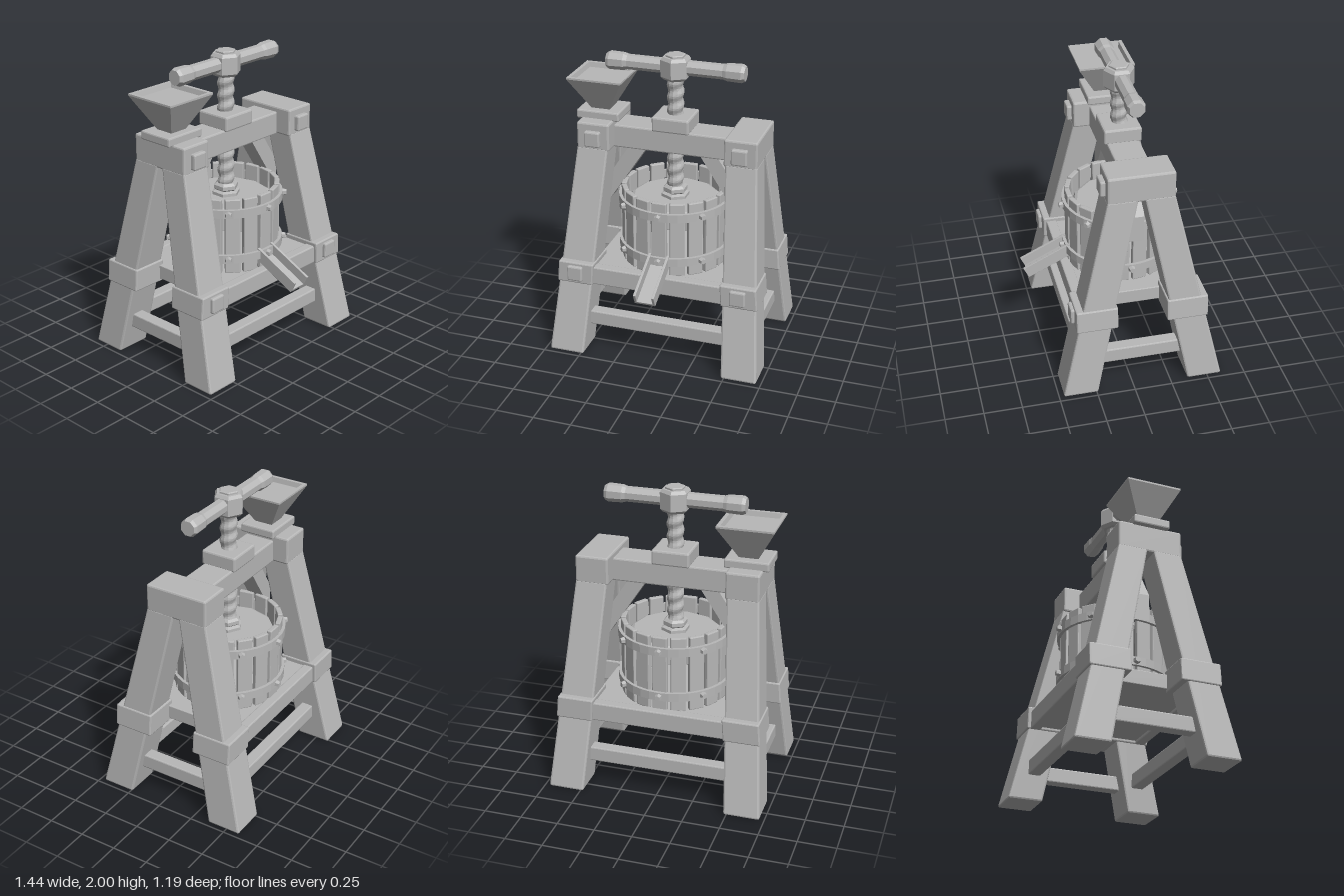
import * as THREE from 'three';
import { RoundedBoxGeometry } from 'three/addons/geometries/RoundedBoxGeometry.js';

const CZ = -0.063; // depth of the frame's middle plane

export function createModel() {
  const root = new THREE.Group();
  root.name = 'screwPress';
  const grey = new THREE.MeshStandardMaterial({ color: 0xb8b8b8 });
  grey.name = 'plain grey';

  // faceted mesh from any geometry
  function add(name, geo, parent = root) {
    const g = geo.index ? geo.toNonIndexed() : geo;
    g.computeVertexNormals();
    const m = new THREE.Mesh(g, grey);
    m.name = name;
    parent.add(m);
    return m;
  }
  // bevelled box between bounds
  function box(name, x0, x1, y0, y1, z0, z1, bevel = 0.01, parent = root) {
    const g = new RoundedBoxGeometry(x1 - x0, y1 - y0, z1 - z0, 1, bevel);
    g.translate((x0 + x1) / 2, (y0 + y1) / 2, (z0 + z1) / 2);
    return add(name, g, parent);
  }
  // bevelled post whose rectangle [x0, x1, z0, z1] changes from bottom to top
  function post(name, y0, y1, bottom, top, bevel = 0.012) {
    const g = new RoundedBoxGeometry(0.22, y1 - y0, 0.22, 1, bevel);
    const p = g.attributes.position;
    for (let i = 0; i < p.count; i++) {
      const t = p.getY(i) / (y1 - y0) + 0.5;
      const [a, b, c, d] = bottom.map((v, k) => v + (top[k] - v) * t);
      p.setXYZ(i, a + (b - a) * (p.getX(i) / 0.22 + 0.5), y0 + (y1 - y0) * t,
        c + (d - c) * (p.getZ(i) / 0.22 + 0.5));
    }
    return add(name, g);
  }
  const span = (s, a, b) => (s > 0 ? [a, b] : [-b, -a]);

  // A-shaped side frames
  const LEG_TOP = 1.38;
  for (const sx of [1, -1]) {
    for (const sz of [1, -1]) {
      const rect = (y, gx, gz) => {
        const t = y / LEG_TOP;
        const mix = (a, b) => a + (b - a) * t;
        const xs = span(sx, mix(0.48, 0.395) - gx, mix(0.72, 0.605) + gx);
        const zs = span(sz, mix(0.302, 0.018) - gz, mix(0.533, 0.213) + gz);
        return [...xs, zs[0] + CZ, zs[1] + CZ];
      };
      post('leg', 0, LEG_TOP, rect(0, 0, 0), rect(LEG_TOP, 0, 0));
      const mid = rect(0.55, 0.008, 0.027);
      const low = rect(0.48, 0.008, 0.027), high = rect(0.63, 0.008, 0.027);
      post('legCollar', 0.48, 0.63, [low[0], low[1], mid[2], mid[3]],
        [high[0], high[1], mid[2], mid[3]], 0.008);
    }
    box('frameHead', ...span(sx, 0.385, 0.605), 1.36, 1.545, CZ - 0.215, CZ + 0.215, 0.012);
    // square pegs on the front
    box('upperPeg', ...span(sx, 0.44, 0.545), 1.39, 1.495, 0.12, 0.185, 0.01);
    box('lowerPeg', ...span(sx, 0.505, 0.61), 0.505, 0.61, 0.33, 0.393, 0.01);
    // low side stretcher
    box('sideStretcher', ...span(sx, 0.555, 0.64), 0.17, 0.27, CZ - 0.36, CZ + 0.36, 0.008);

    // diagonal brace under the top beam
    const s = new THREE.Shape([[0.17, 1.37], [0.29, 1.37], [0.44, 1.14], [0.44, 0.96]]
      .map(([x, y]) => new THREE.Vector2(sx * x, y)));
    const brace = new THREE.ExtrudeGeometry(s, { depth: 0.12, bevelEnabled: false });
    brace.translate(0, 0, CZ - 0.06);
    add('brace', brace);
  }

  // cross beams, bed and long stretchers
  box('topBeam', -0.42, 0.42, 1.355, 1.51, CZ - 0.105, CZ + 0.105);
  box('screwBlock', -0.125, 0.125, 1.5, 1.6, CZ - 0.123, CZ + 0.123, 0.012);
  box('bed', -0.47, 0.47, 0.5, 0.597, CZ - 0.36, CZ + 0.36, 0.005);
  for (const s of [1, -1]) {
    box('bedBeam', -0.48, 0.48, 0.48, 0.605, CZ + s * 0.375 - 0.035, CZ + s * 0.375 + 0.035, 0.008);
    box('longStretcher', -0.56, 0.56, 0.17, 0.27, CZ + s * 0.365 - 0.042, CZ + s * 0.365 + 0.042, 0.008);
  }

  // slatted basket with two bolted hoops
  const basket = new THREE.Group();
  basket.name = 'basket';
  basket.position.z = CZ;
  root.add(basket);
  for (let i = 0; i < 18; i++) {
    const g = new RoundedBoxGeometry(0.1, 0.515, 0.034, 1, 0.006);
    g.translate(0, 0.8525, 0.337);
    g.rotateY((i / 18) * Math.PI * 2);
    add('stave', g, basket);
  }
  for (const y of [0.702, 1.018]) {
    const ring = [[0.352, -0.028], [0.376, -0.028], [0.376, 0.028], [0.352, 0.028], [0.352, -0.028]];
    add('hoop', new THREE.LatheGeometry(ring.map(([r, h]) => new THREE.Vector2(r, y + h)), 36), basket);
    for (let i = 0; i < 8; i++) {
      const g = new THREE.CylinderGeometry(0.018, 0.025, 0.03, 6);
      g.rotateX(Math.PI / 2);
      g.translate(0, y, 0.386);
      g.rotateY((i / 8) * Math.PI * 2);
      add('bolt', g, basket);
    }
  }

  // turned part standing on the screw axis
  function turned(name, points, sides) {
    const g = new THREE.LatheGeometry(points.map(([r, y]) => new THREE.Vector2(r, y)), sides);
    const m = add(name, g);
    m.position.z = CZ;
    return m;
  }
  turned('pressPlate', [[0, 0.96], [0.3, 0.96], [0.31, 0.98], [0.3, 1.01], [0.28, 1.02], [0, 1.02]], 12);
  turned('screwFoot', [[0.095, 1.01], [0.095, 1.04], [0.07, 1.05], [0.082, 1.06], [0.082, 1.085],
    [0.065, 1.1], [0, 1.1]], 6);
  turned('hub', [[0, 1.835], [0.08, 1.835], [0.1, 1.855], [0.1, 1.965], [0.085, 1.985], [0.066, 1.985],
    [0.066, 1.995], [0.058, 2], [0, 2]], 6);

  // threaded screw
  const screw = new THREE.CylinderGeometry(0.05, 0.05, 0.78, 12, 48);
  const sp = screw.attributes.position;
  for (let i = 0; i < sp.count; i++) {
    const x = sp.getX(i), z = sp.getZ(i);
    if (Math.hypot(x, z) < 0.01) continue;
    const k = 1.06 + 0.11 * Math.sin(Math.atan2(z, x) + sp.getY(i) * Math.PI * 2 / 0.085);
    sp.setX(i, x * k);
    sp.setZ(i, z * k);
  }
  screw.translate(0, 1.47, CZ);
  add('screw', screw);

  // turning handle
  const half = [[0.05, 0.08], [0.05, 0.32], [0.058, 0.345], [0.061, 0.44], [0.05, 0.462], [0, 0.462]];
  const bar = [...half.map(([r, x]) => [r, -x]).reverse(), ...half];
  const handle = new THREE.LatheGeometry(bar.map(([r, x]) => new THREE.Vector2(r, x)), 8);
  handle.rotateY(Math.PI / 8);
  handle.rotateZ(-Math.PI / 2);
  handle.translate(0, 1.915, CZ);
  add('handle', handle);

  // square hopper with a recessed floor
  box('hopperBase', -0.64, -0.35, 1.535, 1.595, CZ - 0.123, CZ + 0.123);
  const q = Math.SQRT2;
  const hopper = new THREE.LatheGeometry([[0, 1.59], [0.06, 1.59], [0.184, 1.815], [0.184, 1.827], [0.16, 1.827],
    [0.152, 1.795], [0, 1.795]].map(([r, y]) => new THREE.Vector2(r * q, y)), 4);
  hopper.rotateY(Math.PI / 4);
  hopper.translate(-0.495, 0, CZ);
  add('hopper', hopper);

  // sloping spout: a floor and two walls
  const spout = new THREE.Group();
  spout.name = 'spout';
  spout.position.set(0, 0.63, 0.43);
  spout.rotation.x = 0.45;
  root.add(spout);
  box('spoutFloor', -0.06, 0.06, -0.04, -0.022, -0.18, 0.17, 0.002, spout);
  for (const s of [1, -1]) box('spoutWall', ...span(s, 0.053, 0.07), -0.04, 0.04, -0.18, 0.17, 0.002, spout);

  return root;
}
